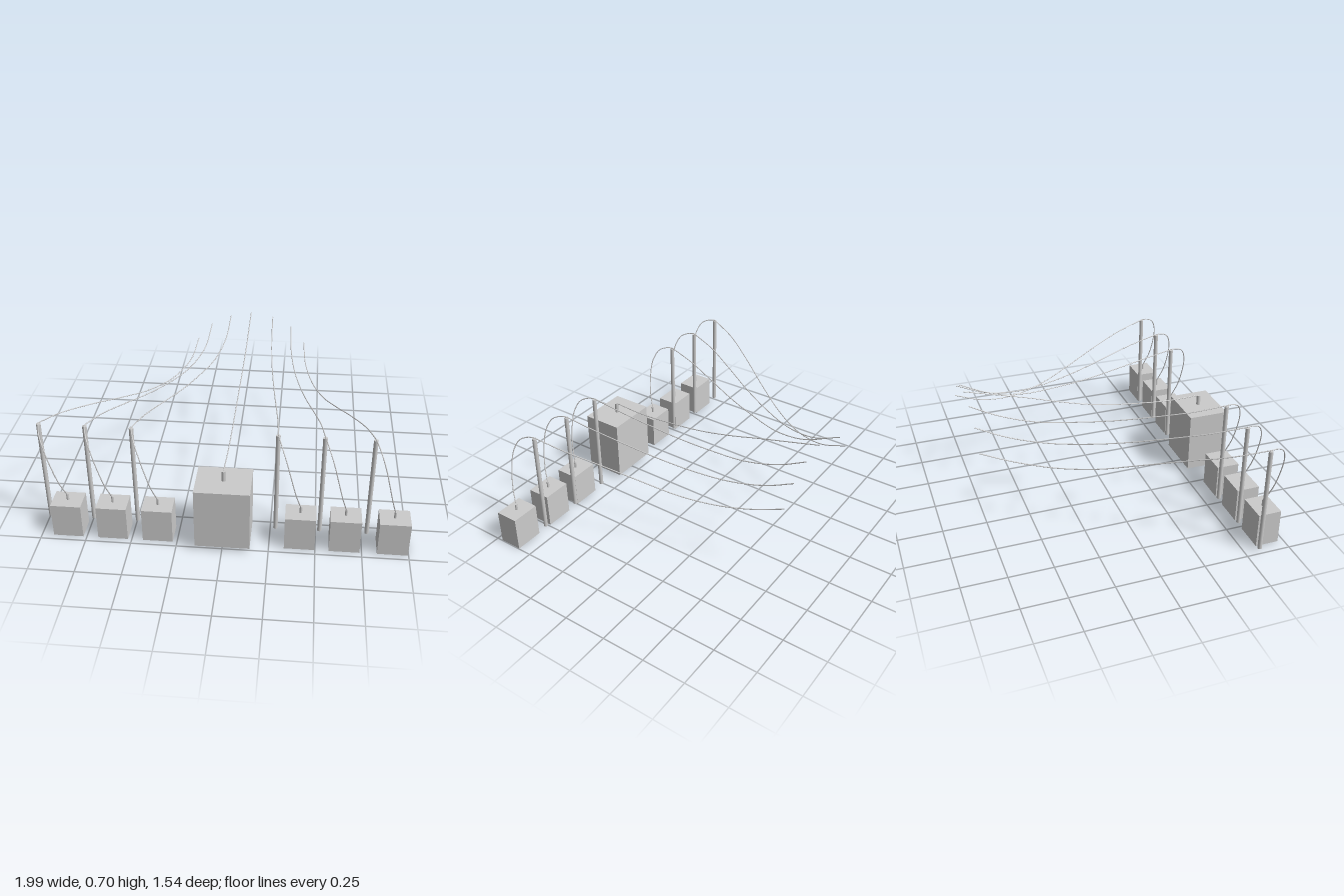
import * as THREE from 'three';

export function createModel() {
  const model = new THREE.Group();
  const material = new THREE.MeshStandardMaterial({ color: 0xcccccc });

  function add(parent, name, geometry, x = 0, y = 0, z = 0) {
    const mesh = new THREE.Mesh(geometry, material);
    mesh.name = name;
    mesh.position.set(x, y, z);
    parent.add(mesh);
  }

  // Upright rod standing from y0 to y1
  function addRod(parent, name, radius, x, y0, y1, z) {
    add(parent, name, new THREE.CylinderGeometry(radius, radius, y1 - y0, 16), x, (y0 + y1) / 2, z);
  }

  // Thin round cable through a few points
  function addCable(parent, name, points, segments) {
    const curve = new THREE.CatmullRomCurve3(points.map(p => new THREE.Vector3(...p)));
    add(parent, name, new THREE.TubeGeometry(curve, segments, 0.003, 8));
  }

  const lerp = THREE.MathUtils.lerp;
  const boxZ = 0.65, poleZ = 0.577, poleTop = 0.635;

  // Shared run of the long cables: depth, and sideways share of the way to the end
  const runZ = [poleZ, 0.4, 0.2, 0, -0.2, -0.4, -0.6, -0.77];
  const runX = [0, 0.1, 0.28, 0.475, 0.66, 0.83, 0.955, 1];

  // Sag of the long cables: outer, middle, inner
  const sag = [
    [0.64, 0.597, 0.54, 0.475, 0.417, 0.398, 0.428, 0.495],
    [0.64, 0.605, 0.56, 0.517, 0.49, 0.486, 0.525, 0.603],
    [0.64, 0.61, 0.578, 0.55, 0.537, 0.538, 0.585, 0.668],
  ];

  // Short drop cable: sideways share from box to pole, height, depth
  const drop = [
    [0, 0.23, 0.65], [0.2, 0.33, 0.685], [0.42, 0.45, 0.7], [0.6, 0.54, 0.695],
    [0.8, 0.61, 0.663], [0.93, 0.635, 0.615], [1, 0.64, poleZ],
  ];

  // Six small units: box centre, pole position, far cable end, sag row
  const units = [
    [-0.852, -0.985, -0.305, 0], [-0.604, -0.738, -0.215, 1], [-0.356, -0.49, -0.09, 2],
    [0.415, 0.28, 0.18, 2], [0.656, 0.522, 0.3, 1], [0.914, 0.78, 0.388, 0],
  ];
  for (const [boxX, poleX, endX, row] of units) {
    const unit = new THREE.Group();
    unit.name = 'smallUnit';
    add(unit, 'smallBox', new THREE.BoxGeometry(0.165, 0.2, 0.132), boxX, 0.1, boxZ);
    addRod(unit, 'smallConnector', 0.007, boxX, 0.195, 0.237, boxZ);
    addRod(unit, 'pole', 0.012, poleX, 0.027, poleTop, poleZ);
    addCable(unit, 'dropCable', drop.map(([u, y, z]) => [lerp(boxX, poleX, u), y, z]), 32);
    addCable(unit, 'longCable', runZ.map((z, i) => [lerp(poleX, endX, runX[i]), sag[row][i], z]), 56);
    model.add(unit);
  }

  // Large central unit with its own cable
  const centre = new THREE.Group();
  centre.name = 'centralUnit';
  add(centre, 'largeBox', new THREE.BoxGeometry(0.296, 0.356, 0.236), 0.002, 0.206, 0.652);
  addRod(centre, 'largeConnector', 0.012, 0.002, 0.38, 0.445, boxZ);
  addCable(centre, 'centralCable', [
    [0.002, 0.445, boxZ], [0.007, 0.439, 0.47], [0.011, 0.449, 0.3], [0.017, 0.483, 0.02],
    [0.025, 0.534, -0.2], [0.033, 0.593, -0.4], [0.037, 0.647, -0.6], [0.04, 0.693, -0.77],
  ], 56);
  model.add(centre);

  return model;
}
